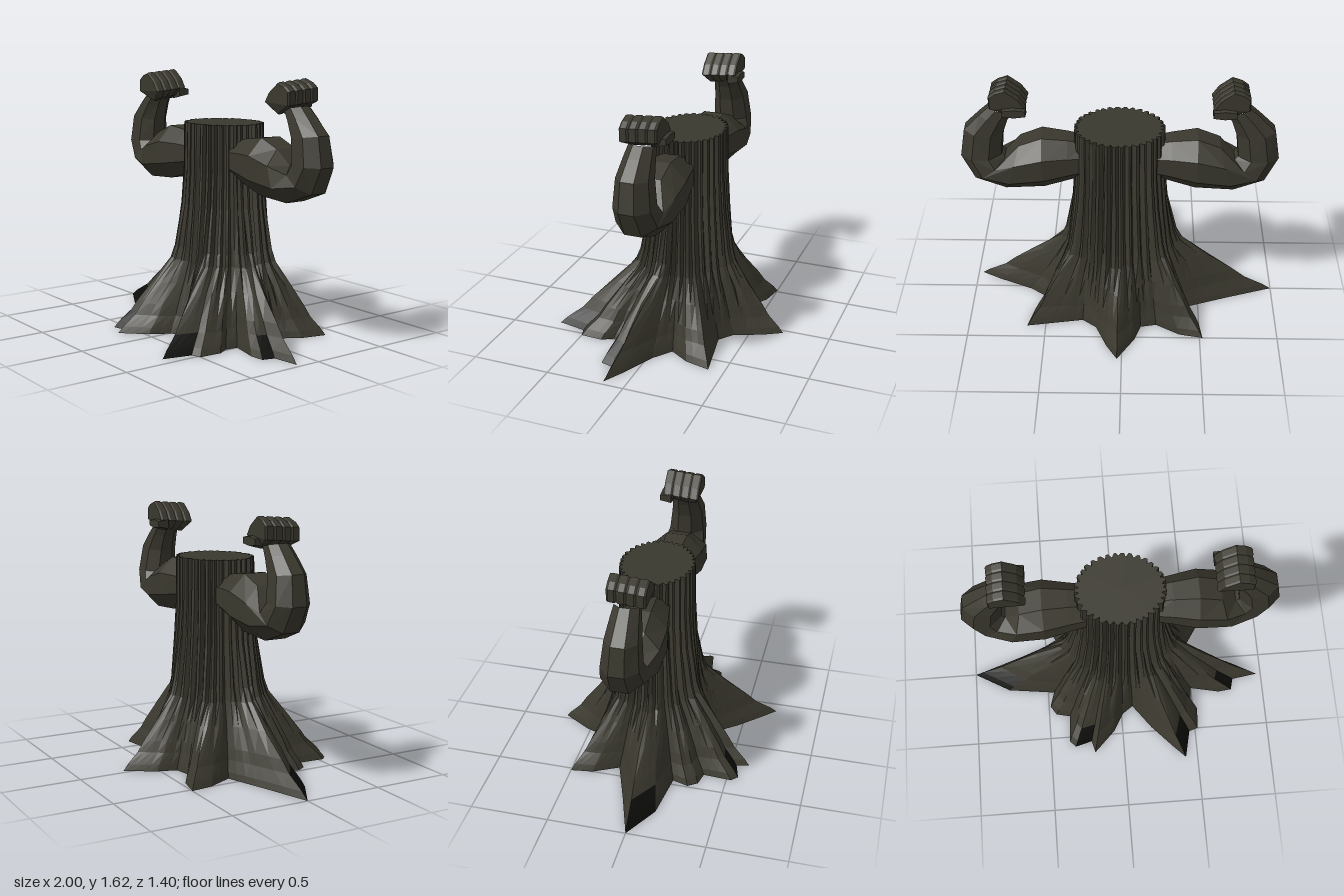
import * as THREE from 'three';
import { ConvexGeometry } from 'three/addons/geometries/ConvexGeometry.js';

const CX = 0.02, CZ = -0.05;

// Ground outline of the roots as x, z pairs, running from +x towards +z
const OUTLINE = [
  [0.62, -0.03], [0.84, 0.07], [0.97, 0.14], [0.8, 0.165], [0.78, 0.24], [0.69, 0.25], [0.5, 0.21],
  [0.49, 0.29], [0.53, 0.36], [0.52, 0.5], [0.46, 0.52], [0.42, 0.7], [0.34, 0.62], [0.2, 0.47],
  [0.08, 0.31], [0.01, 0.36], [-0.06, 0.48], [-0.2, 0.62], [-0.22, 0.54], [-0.33, 0.57], [-0.37, 0.53],
  [-0.36, 0.35], [-0.45, 0.33], [-0.49, 0.27], [-0.46, 0.17], [-0.77, 0.13], [-1.0, 0.0],
  [-0.7, -0.1], [-0.42, -0.2], [-0.5, -0.36], [-0.52, -0.5], [-0.37, -0.47], [-0.22, -0.38],
  [-0.12, -0.4], [-0.08, -0.52], [0.03, -0.7], [0.1, -0.58], [0.17, -0.41], [0.26, -0.34],
  [0.44, -0.37], [0.62, -0.4], [0.58, -0.24], [0.5, -0.12]
];

// Height, spread of the roots, thickness of the trunk, depth of the bark grooves
const RINGS = [
  [0, 1, 1.18, 0], [0.04, 0.92, 1.18, 0.1], [0.11, 0.74, 1.18, 0.25], [0.18, 0.63, 1.17, 0.4],
  [0.31, 0.4, 1.15, 0.7], [0.45, 0.15, 1.13, 1], [0.53, 0.09, 1.12, 1], [0.8, 0.01, 1.07, 1],
  [1.02, 0, 1.02, 1], [1.32, 0, 1, 0.8]
];

function seeded(seed) {
  return () => {
    seed = (seed * 16807) % 2147483647;
    return seed / 2147483647;
  };
}

function meshFrom(positions, material, name) {
  const g = new THREE.BufferGeometry();
  g.setAttribute('position', new THREE.Float32BufferAttribute(positions, 3));
  g.computeVertexNormals();
  const mesh = new THREE.Mesh(g, material);
  mesh.name = name;
  return mesh;
}

// Trunk flaring into roots: rings of columns between an ellipse and the outline
function buildTrunk(bark, hollow) {
  const rand = seeded(71);
  const columns = [];
  OUTLINE.forEach((p, i) => {
    const q = OUTLINE[(i + 1) % OUTLINE.length];
    const a = Math.atan2(p[1] - CZ, p[0] - CX);
    let span = Math.atan2(q[1] - CZ, q[0] - CX) - a;
    if (span < -Math.PI) span += 2 * Math.PI;
    const n = Math.max(1, Math.round(span / 0.06));
    for (let k = 0; k < n; k++) {
      const t = k / n;
      columns.push({
        x: p[0] + (q[0] - p[0]) * t, z: p[1] + (q[1] - p[1]) * t, edge: i,
        groove: columns.length % 3 === 0 ? 0.9 - rand() * 0.05 : 1.01 - rand() * 0.03
      });
    }
  });
  const rings = RINGS.map(([y, spread, thick, depth]) => columns.map(c => {
    const wobble = y > 0.4 && y < 1.2 ? (rand() - 0.5) * 0.02 : 0;
    const a = Math.atan2(c.z - CZ, c.x - CX) + wobble;
    const r = thick * (1 + (c.groove - 1) * depth);
    const tx = CX + Math.cos(a) * 0.28 * r, tz = CZ + Math.sin(a) * 0.235 * r;
    return [tx + (c.x - tx) * spread, y, tz + (c.z - tz) * spread];
  }));
  const wood = [], dark = [], last = rings.length - 1;
  const darkEdges = [3, 10, 18, 25];
  columns.forEach((c, i) => {
    const j = (i + 1) % columns.length;
    for (let k = 0; k < last; k++) {
      const a = rings[k][i], b = rings[k][j], d = rings[k + 1][i], e = rings[k + 1][j];
      const target = k < 2 && darkEdges.includes(c.edge) ? dark : wood;
      target.push(...a, ...d, ...b, ...b, ...d, ...e);
    }
    wood.push(...rings[0][i], ...rings[0][j], CX, 0, CZ);
    wood.push(...rings[last][j], ...rings[last][i], CX, 1.32, CZ);
  });
  const group = new THREE.Group();
  group.name = 'trunkAndRoots';
  group.add(meshFrom(wood, bark, 'trunk'), meshFrom(dark, hollow, 'rootHollows'));
  return group;
}

// Arm sections: inner x, y, outer x, y, middle z, half depth
const ARM = [
  [0.2, 1.22, 0.2, 0.99, -0.04, 0.12], [0.32, 1.245, 0.32, 0.955, -0.04, 0.14],
  [0.48, 1.265, 0.47, 0.915, -0.04, 0.17], [0.62, 1.21, 0.71, 0.9, -0.04, 0.165],
  [0.71, 1.12, 0.9, 0.97, -0.05, 0.13], [0.73, 1.14, 0.98, 1.13, -0.045, 0.115],
  [0.715, 1.28, 0.95, 1.31, -0.04, 0.1], [0.68, 1.38, 0.85, 1.41, -0.04, 0.085],
  [0.645, 1.44, 0.785, 1.47, -0.04, 0.075]
];
const FIST = [
  [0.78, 1.57], [0.74, 1.6], [0.68, 1.62], [0.6, 1.56],
  [0.56, 1.5], [0.6, 1.455], [0.65, 1.43], [0.78, 1.49]
];

function buildArm(side, bark) {
  const group = new THREE.Group();
  group.name = side > 0 ? 'leftArm' : 'rightArm';
  const place = (x, y, z) => [CX + side * x, y, z];
  const SIDES = 8;
  const loops = ARM.map(([ix, iy, ox, oy, z, h]) => Array.from({ length: SIDES }, (_, i) => {
    const a = ((i + 0.5) / SIDES) * Math.PI * 2, k = 1 / Math.cos(Math.PI / SIDES);
    const u = Math.cos(a) * k / 2;
    return place((ix + ox) / 2 + (ix - ox) * u, (iy + oy) / 2 + (iy - oy) * u, z + Math.sin(a) * k * h);
  }));
  const pos = [];
  const tri = (a, b, c) => (side > 0 ? pos.push(...a, ...b, ...c) : pos.push(...a, ...c, ...b));
  for (let s = 0; s < loops.length - 1; s++) {
    for (let i = 0; i < SIDES; i++) {
      const j = (i + 1) % SIDES;
      tri(loops[s][i], loops[s][j], loops[s + 1][i]);
      tri(loops[s][j], loops[s + 1][j], loops[s + 1][i]);
    }
  }
  group.add(meshFrom(pos, bark, 'flexedArm'));

  const hull = (points, name) => {
    const mesh = new THREE.Mesh(
      new ConvexGeometry(points.map(p => new THREE.Vector3(...place(...p)))), bark);
    mesh.name = name;
    group.add(mesh);
  };
  // Four curled fingers side by side, narrowing towards the wrist
  for (let f = 0; f < 4; f++) {
    const points = [];
    const z0 = 0.08 - f * 0.0575, z1 = z0 - 0.0575;
    for (const [z, s] of [[z0, 0.93], [z0 - 0.012, 1], [z1 + 0.012, 1], [z1, 0.93]]) {
      for (const [x, y] of FIST) {
        const squeeze = y < 1.48 ? 0.75 : 1;
        points.push([0.67 + (x - 0.67) * s, 1.525 + (y - 1.525) * s + (0.02 - z) * 0.08 - 0.01,
          -0.035 + (z + 0.035) * squeeze]);
      }
    }
    hull(points, 'finger');
  }
  // Thumb folded along the back of the fist
  const thumb = [];
  for (const [x, h] of [[0.7, 0.03], [0.63, 0.045], [0.56, 0.03]]) {
    for (const dy of [-h, h]) thumb.push([x, 1.475 + dy, -0.1], [x, 1.475 + dy * 0.6, -0.172]);
  }
  hull(thumb, 'thumb');
  return group;
}

export function createModel() {
  const bark = new THREE.MeshStandardMaterial({ color: 0x3a382e });
  bark.name = 'dark bark';
  const hollow = new THREE.MeshStandardMaterial({ color: 0x0c0c0a });
  hollow.name = 'black hollow';
  bark.flatShading = hollow.flatShading = true;
  const model = new THREE.Group();
  model.name = 'flexingTreeStump';
  model.add(buildTrunk(bark, hollow), buildArm(1, bark), buildArm(-1, bark));
  return model;
}
